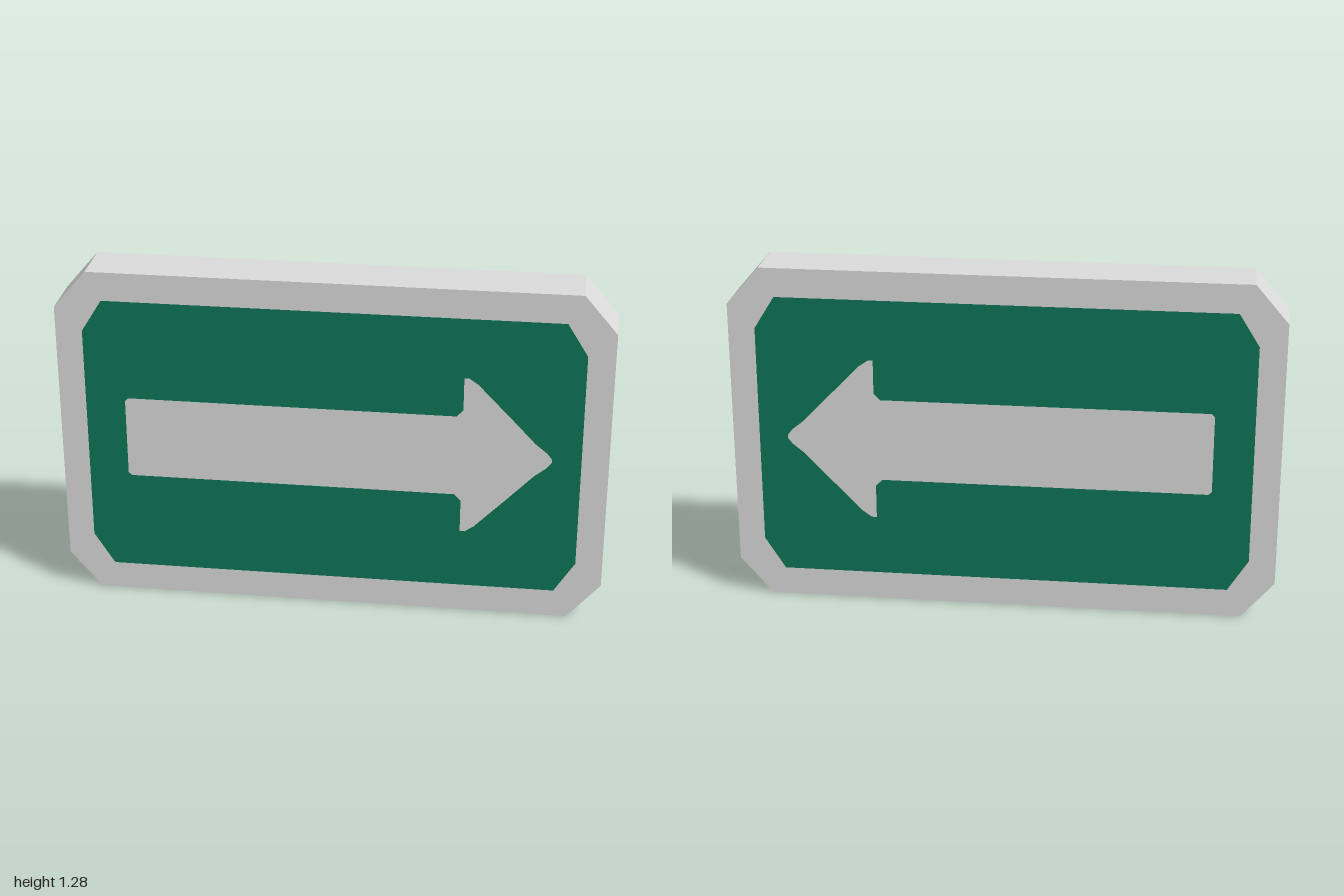
import * as THREE from 'three';

const white = new THREE.MeshStandardMaterial({ color: 0xdcdcdc });
white.name = 'light grey';
const green = new THREE.MeshStandardMaterial({ color: 0x0e7658 });
green.name = 'sign green';

const HEIGHT = 1.284;
const HALF_DEPTH = 0.098;

// Rectangle outline with cut corners, centred on the origin
function cutRectangle(w, h, cx, cy) {
  return [
    [w - cx, -h], [w, -h + cy], [w, h - cy], [w - cx, h],
    [-w + cx, h], [-w, h - cy], [-w, -h + cy], [-w + cx, -h],
  ];
}

const toVectors = (points, sx = 1) => points.map(([x, y]) => new THREE.Vector2(x * sx, y));

// Upper half of the arrow, from tail to tip; the lower half is mirrored
const arrowTop = [
  [-0.757, 0.145], [-0.745, 0.157], [0.45, 0.157], [0.474, 0.182], [0.474, 0.308],
  [0.492, 0.308], [0.525, 0.285], [0.65, 0.155], [0.735, 0.065], [0.78, 0.028], [0.797, 0.006],
];
const arrow = [...arrowTop, ...arrowTop.map(([x, y]) => [x, -y]).reverse()];

// Green field with the arrow left open, so the board shows through
function panel(name, side) {
  const shape = new THREE.Shape(toVectors(cutRectangle(0.902, 0.535, 0.075, 0.12), side));
  shape.holes.push(new THREE.Path(toVectors(arrow, side)));
  const mesh = new THREE.Mesh(new THREE.ShapeGeometry(shape), green);
  mesh.name = name;
  mesh.position.z = side * (HALF_DEPTH + 0.002);
  if (side < 0) mesh.rotation.y = Math.PI;
  return mesh;
}

export function createModel() {
  const sign = new THREE.Group();
  sign.name = 'arrowSign';

  // Thick board with cut corners
  const outline = new THREE.Shape(toVectors(cutRectangle(1, HEIGHT / 2, 0.12, 0.14)));
  const boardGeometry = new THREE.ExtrudeGeometry(outline, { depth: HALF_DEPTH * 2, bevelEnabled: false });
  boardGeometry.translate(0, 0, -HALF_DEPTH);
  const board = new THREE.Mesh(boardGeometry, white);
  board.name = 'board';

  // Both faces point the same way in space
  sign.add(board, panel('frontPanel', 1), panel('backPanel', -1));
  sign.children.forEach((part) => { part.position.y = HEIGHT / 2; });
  return sign;
}
